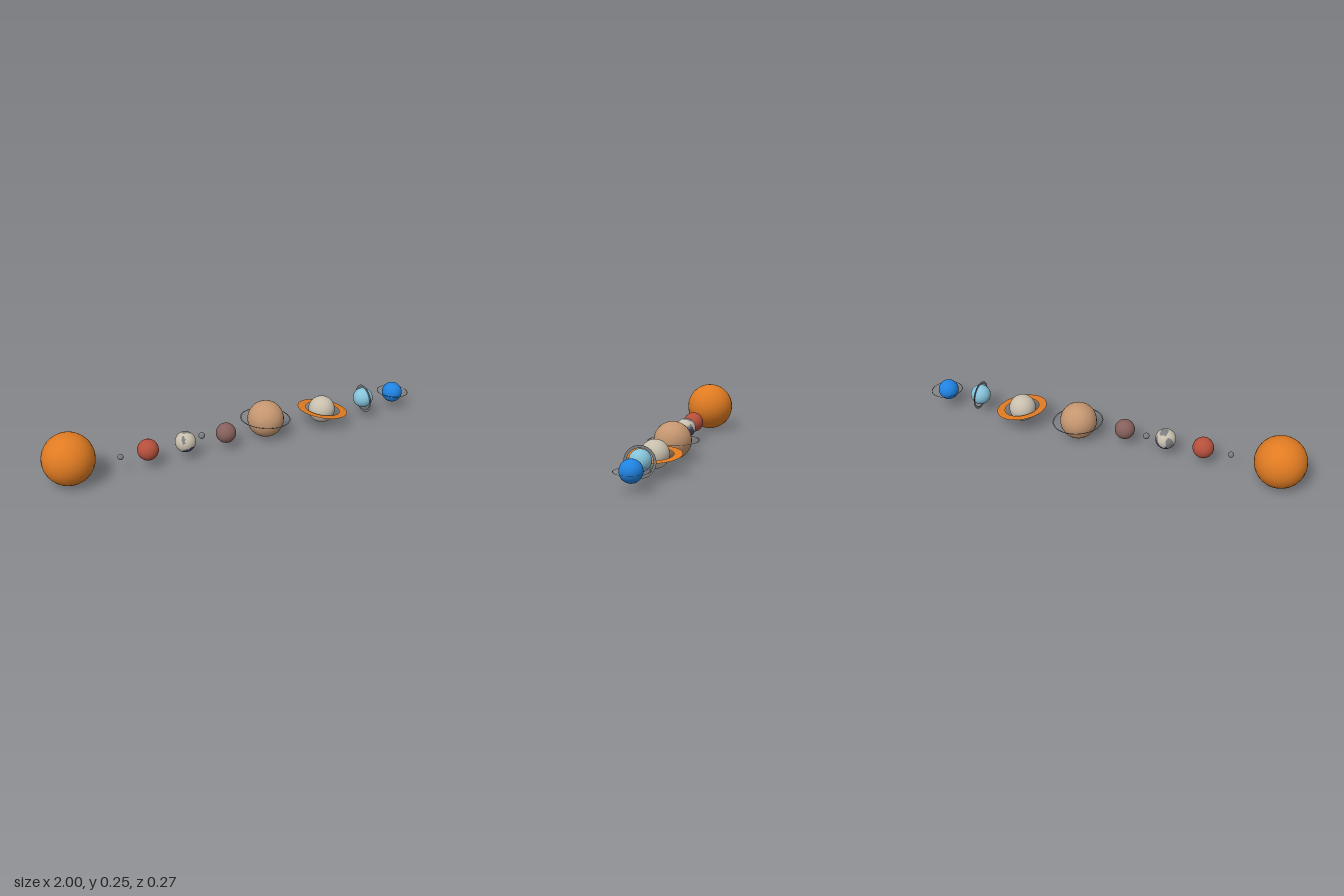
import * as THREE from 'three';

const mat = (name, color, side = THREE.FrontSide) => {
  const m = new THREE.MeshStandardMaterial({ color, side });
  m.name = name;
  return m;
};

export function createModel() {
  const group = new THREE.Group();
  group.name = 'solarSystem';

  const orange = mat('orange', 0xe07b22, THREE.DoubleSide);
  const grey = mat('grey', 0x7b7d7f, THREE.DoubleSide);
  const red = mat('rustRed', 0xb5503c);
  const cream = mat('cream', 0xc8bfae);
  const navy = mat('navy', 0x45466a);
  const maroon = mat('maroon', 0x86605c);
  const tan = mat('tan', 0xc49670);
  const paleBlue = mat('paleBlue', 0x86c3da);
  const blue = mat('blue', 0x2083e2);

  // Spheres: name, x, y, z, radius, material
  const bodies = [
    ['sun', -0.875, 0.127, 0.009, 0.126, orange],
    ['mercury', -0.628, 0.086, 0.029, 0.0145, grey],
    ['venus', -0.488, 0.091, 0.027, 0.052, red],
    ['moon', -0.199, 0.091, 0.01, 0.016, grey],
    ['mars', -0.077, 0.088, 0.029, 0.05, maroon],
    ['jupiter', 0.16, 0.099, -0.004, 0.092, tan],
    ['saturn', 0.479, 0.088, 0.006, 0.068, cream],
    ['uranus', 0.724, 0.103, 0.012, 0.051, paleBlue],
    ['neptune', 0.911, 0.093, 0.003, 0.052, blue],
  ];
  for (const [name, x, y, z, r, material] of bodies) {
    const mesh = new THREE.Mesh(new THREE.SphereGeometry(r, 28, 18), material);
    mesh.name = name;
    mesh.position.set(x, y, z);
    group.add(mesh);
  }

  // Earth: the faces are sorted into land, rock and sea
  const earthGeo = new THREE.SphereGeometry(0.051, 36, 24).toNonIndexed();
  const pos = earthGeo.attributes.position;
  const n = new THREE.Vector3();
  const v = new THREE.Vector3();
  for (let i = 0; i < pos.count; i += 3) {
    n.set(0, 0, 0);
    for (let k = 0; k < 3; k++) n.add(v.fromBufferAttribute(pos, i + k));
    n.normalize();
    const wobble = Math.sin(5 * n.x + 2 * n.z) * Math.cos(4 * n.z - 3 * n.y);
    let index = 0;
    if (n.y - 0.35 * n.x + 0.3 * wobble < -0.3) index = 2;
    else if (Math.sin(4 * n.x + 1.2) * Math.cos(3 * n.z + 2 * n.y - 1) + 0.3 * n.y > 0.3) index = 1;
    earthGeo.addGroup(i, 3, index);
  }
  const earth = new THREE.Mesh(earthGeo, [cream, grey, navy]);
  earth.name = 'earth';
  earth.position.set(-0.294, 0.089, 0.028);
  group.add(earth);

  // Flat rings: name, x, y, z, inner and outer radius, tilt about z, material
  const rings = [
    ['jupiterRing', 0.161, 0.099, -0.009, 0.12, 0.127, -0.05, grey],
    ['saturnRing', 0.483, 0.087, 0.007, 0.088, 0.128, -0.15, orange],
    ['uranusRing', 0.726, 0.097, 0.013, 0.06, 0.073, -Math.PI / 2 + 0.02, grey],
    ['neptuneRing', 0.917, 0.093, -0.002, 0.077, 0.081, -0.05, grey],
  ];
  for (const [name, x, y, z, inner, outer, tilt, material] of rings) {
    const geo = new THREE.RingGeometry(inner, outer, 64);
    geo.rotateX(-Math.PI / 2);
    const mesh = new THREE.Mesh(geo, material);
    mesh.name = name;
    mesh.position.set(x, y, z);
    mesh.rotation.z = tilt;
    group.add(mesh);
  }

  return group;
}
